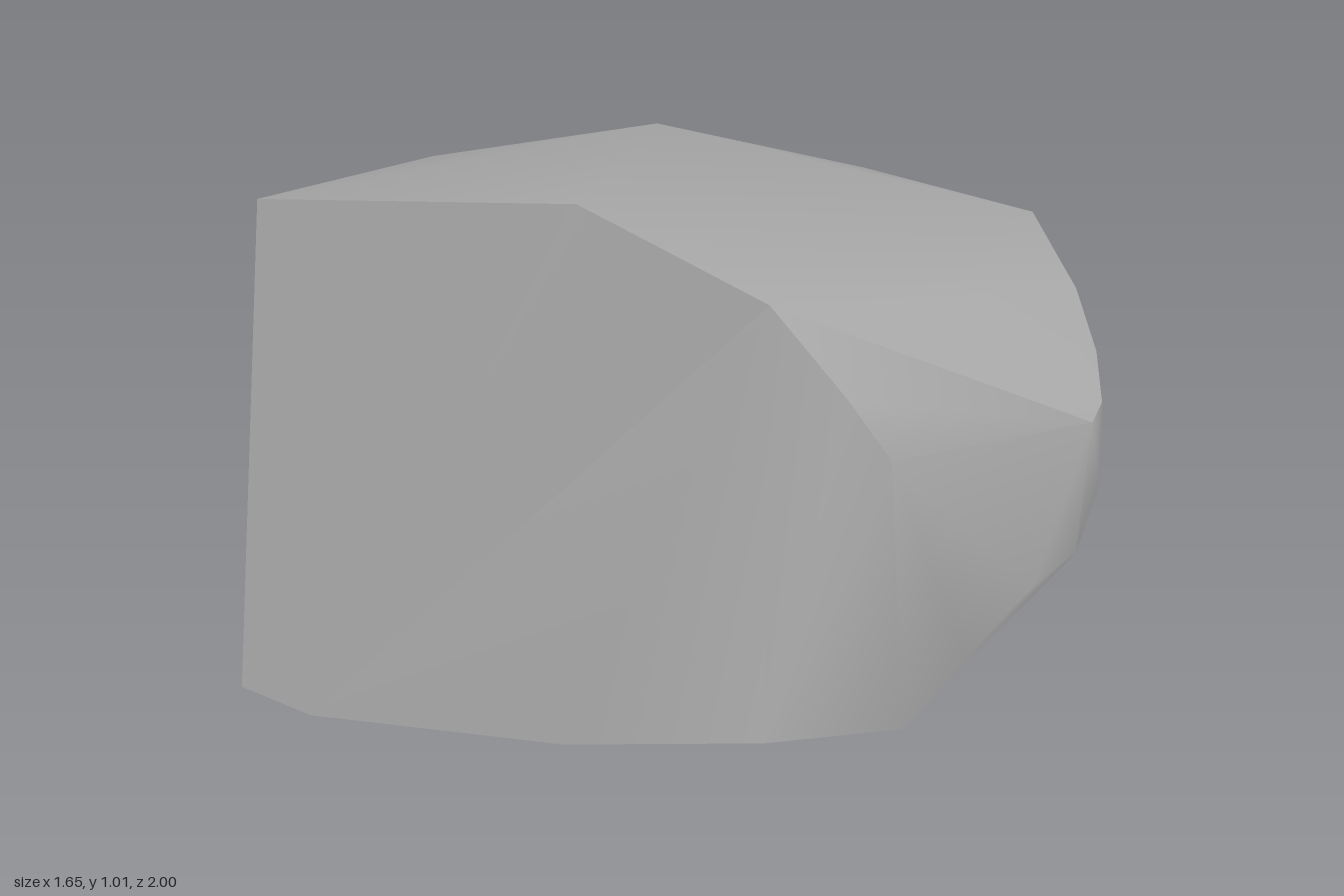
import * as THREE from 'three';
import { ConvexGeometry } from 'three/addons/geometries/ConvexGeometry.js';
import { toCreasedNormals } from 'three/addons/utils/BufferGeometryUtils.js';

const toPoints = (list) => list.map((p) => new THREE.Vector3(...p));

export function createModel() {
  const model = new THREE.Group();
  model.name = 'boulder';
  const stone = new THREE.MeshStandardMaterial({ color: 0xb0b0b0 });
  stone.name = 'grey stone';

  // Rim of the sloping top, clockwise from the front
  const topRim = toPoints([
    [-0.36, 0.82, 0.78], [0.35, 1.01, 0.81], [0.66, 0.9, 0.74], [0.74, 0.72, 0.64],
    [0.785, 0.6, 0.58], [0.8, 0.39, -0.06], [0.76, 0.37, -0.17], [0.66, 0.375, -0.33],
    [0.5, 0.375, -0.54], [0.27, 0.39, -0.77], [0.11, 0.29, -0.93], [-0.25, 0.29, -0.95],
    [-0.69, 0.34, -0.79], [-0.78, 0.37, -0.52], [-0.82, 0.44, -0.19],
  ]);

  // Widest points of the sides and the blunt back
  const girth = toPoints([
    [0.815, 0.14, 0.37], [0.825, 0.18, 0.17], [0.815, 0.16, 0], [0.765, 0.2, -0.17],
    [0.62, 0.13, -0.4], [0, 0.23, -0.99], [0, 0.12, -1], [-0.74, 0.24, -0.82],
    [-0.825, 0.18, -0.36], [-0.825, 0.175, -0.19], [-0.755, 0.21, 0.11],
  ]);

  // Underside, almost flat
  const base = toPoints([
    [-0.26, 0, 1], [-0.1, 0.005, 1], [0.34, 0.045, 0.86], [0.66, 0.11, 0.74],
    [0.775, 0.05, 0.5], [0.1, 0.06, -0.89], [-0.52, 0.05, 0.45], [-0.42, 0.015, 0.68],
  ]);

  // Hull with soft shallow facets and sharp main edges
  const hull = new ConvexGeometry([...topRim, ...girth, ...base]);
  const rock = new THREE.Mesh(toCreasedNormals(hull, 0.6), stone);
  rock.name = 'rock';
  model.add(rock);
  return model;
}
